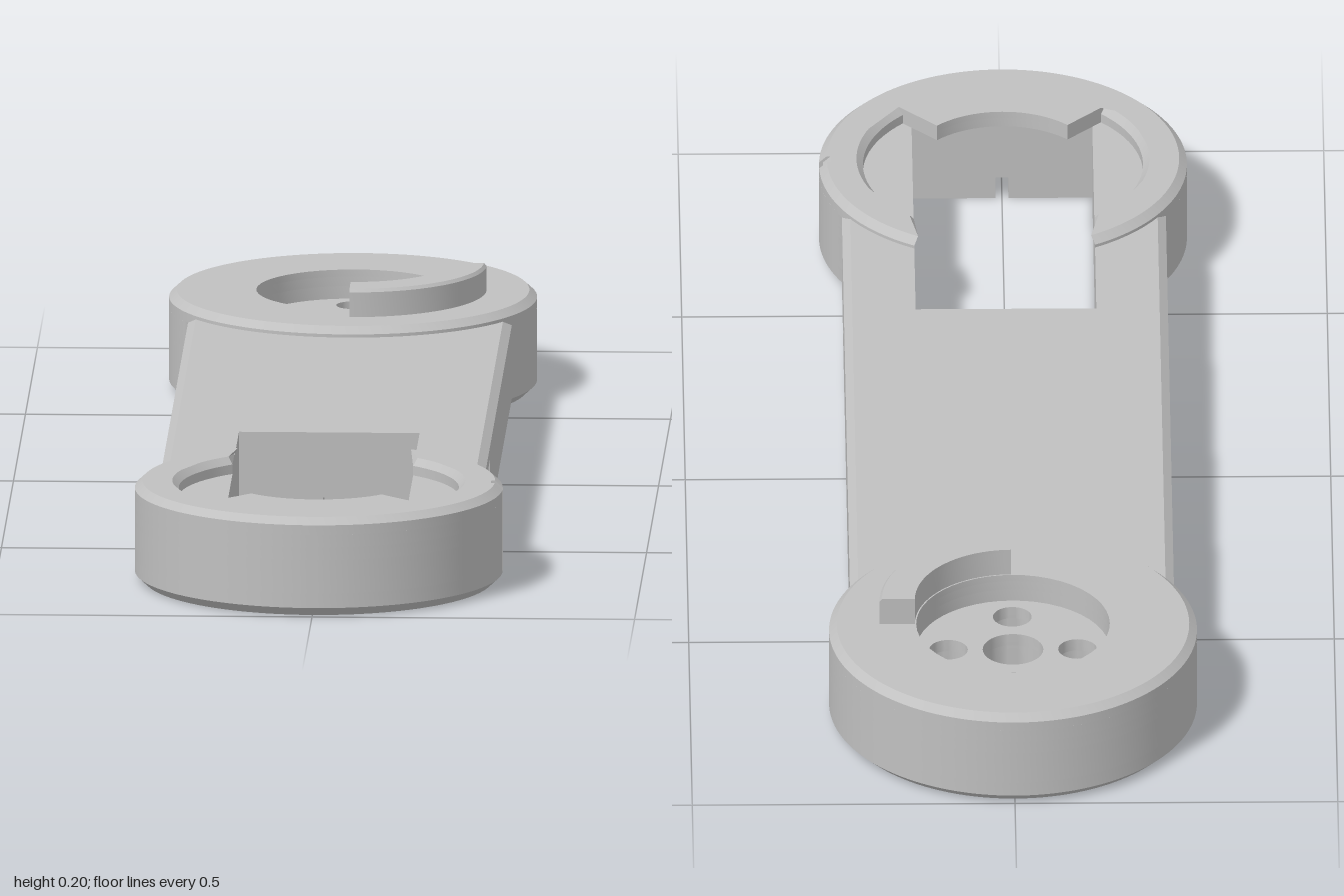
import * as THREE from 'three';
import { toCreasedNormals } from 'three/addons/utils/BufferGeometryUtils.js';

const R = 0.285, W = 0.251, C = 0.715;     // disc radius, bar half width, disc centre distance
const A = Math.acos(W / R);                // angle where the bar meets a disc
const J = C - R * Math.sin(A);             // z of that junction
const PI = Math.PI;

// Plan points are [x, z]; angles run from +x towards +z.
function arc(cx, cz, r, a0, a1, n = 32) {
  return Array.from({ length: n + 1 }, (_, i) => {
    const a = a0 + (a1 - a0) * i / n;
    return [cx + r * Math.cos(a), cz + r * Math.sin(a)];
  });
}
const circle = (x, z, r, n = 32) => arc(x, z, r, 0, 2 * PI, n).slice(0, -1);
const rect = (x, z, w, d) => [[x - w / 2, z - d / 2], [x + w / 2, z - d / 2], [x + w / 2, z + d / 2], [x - w / 2, z + d / 2]];

// Chamfer rules: move points lying near a given radius, or on the bar sides, inwards.
const shiftRadius = (radius, by) => (x, z) => {
  const cz = z > 0 ? C : -C, r = Math.hypot(x, z - cz);
  const k = Math.abs(r - radius) < 0.008 ? (r + by) / r : 1;
  return [x * k, cz + (z - cz) * k];
};
const insetBar = c => (x, z) => [Math.abs(Math.abs(x) - W) < 1e-3 ? x - Math.sign(x) * c : x, z];
const insetBody = c => (x, z) => (Math.abs(z) < J - 1e-3 ? insetBar(c) : shiftRadius(R, -c))(x, z);

export function createModel() {
  const group = new THREE.Group();
  const grey = new THREE.MeshStandardMaterial({ color: 0xc0c0c0 });
  grey.name = 'grey plastic';

  // Horizontal slab between two heights, with optional chamfer at its top or bottom.
  function slab(name, outline, holes, y0, y1, { top, bottom } = {}) {
    // Outlines wind clockwise and holes the other way, so that all walls face outwards.
    const wind = (pts, clockwise) => {
      const v = pts.map(([x, z]) => new THREE.Vector2(x, -z));
      return THREE.ShapeUtils.isClockWise(v) === clockwise ? v : v.reverse();
    };
    const shape = new THREE.Shape(wind(outline, true));
    shape.holes = holes.map(h => new THREE.Path(wind(h, false)));
    const geo = new THREE.ExtrudeGeometry(shape, { depth: y1 - y0, bevelEnabled: false });
    geo.rotateX(-PI / 2).translate(0, y0, 0);
    const p = geo.attributes.position, mid = (y0 + y1) / 2;
    for (let i = 0; i < p.count; i++) {
      const rule = p.getY(i) > mid ? top : bottom;
      if (!rule) continue;
      const [x, z] = rule(p.getX(i), p.getZ(i));
      p.setX(i, x);
      p.setZ(i, z);
    }
    const mesh = new THREE.Mesh(toCreasedNormals(geo, 0.5), grey);
    mesh.name = name;
    group.add(mesh);
  }

  // Outline: front disc with a shallow slit on its left, back disc, straight sides
  const slit = [[R - 0.006, C - 0.009], [R - 0.006, C + 0.009]];
  const frontArc = a => [...arc(0, C, R, -a, -0.032, 16), ...slit, ...arc(0, C, R, 0.032, PI + a, 90)];
  const outline = [...frontArc(A), ...arc(0, -C, R, PI - A, 2 * PI + A, 100)];

  // Window, plain and with the small end slots
  const wx = 0.14, z0 = 0.28, z1 = 0.86, s = 0.01;
  const window = [[wx, z0], [-wx, z0], [-wx, z1], [wx, z1]];
  const slottedWindow = [
    [wx, z0], [s, z0], [s, 0.2], [-s, 0.2], [-s, z0], [-wx, z0],
    [-wx, z1], [-s, z1], [-s, 0.93], [s, 0.93], [s, z1], [wx, z1],
  ];
  // Outline broken through to the window by the square side port
  const portedOutline = [...outline, [W, 0.332], [wx, 0.332], ...window, [wx, 0.392], [W, 0.392]];

  // Bores of the back hub
  const bores = r => [circle(0, -C, 0.047),
    ...[0, 1, 2, 3].map(i => circle(0.1 * Math.cos(i * PI / 2), -C + 0.1 * Math.sin(i * PI / 2), r))];
  // Underside pockets and screw holes
  const pockets = [rect(0.19, 0.735, 0.055, 0.055)];
  const screws = [];
  for (const side of [-1, 1]) {
    for (const z of [-0.45, -0.575]) pockets.push(rect(side * 0.145, z, 0.055, 0.055));
    for (const z of [0.235, 0.925]) screws.push(circle(side * 0.07, z, 0.015, 16));
  }

  // Inner edge of the front ring, with the shelf reaching over the window corners
  const ri = 0.217, ai = Math.acos(wx / ri);
  const ringEdge = [
    ...arc(0, C, ri, -ai, PI / 4, 24),
    ...arc(0, C, 0.143, PI / 4, 3 * PI / 4, 20),
    ...arc(0, C, ri, 3 * PI / 4, PI + ai, 24),
  ];
  const hubPocket = circle(0, -C, 0.15, 48);

  // Body, from the bottom up
  const under = [slottedWindow, ...bores(0.04), ...pockets, ...screws];
  slab('bottomChamfer', outline, under, 0, 0.014, { bottom: insetBody(0.015) });
  slab('lowerBody', outline, under, 0.014, 0.037);
  slab('portedBody', portedOutline, [...bores(0.04), ...pockets], 0.037, 0.09);
  slab('hubFloor', portedOutline, bores(0.03), 0.09, 0.11);
  slab('upperBody', outline, [window, hubPocket], 0.11, 0.13);

  // Bar top with chamfered long edges
  slab('barTop', [[W, -J], [W, J], [wx, 0.51], [wx, z0], [-wx, z0], [-wx, 0.51], [-W, J], [-W, -J], [0, -0.5]],
    [], 0.13, 0.14, { top: insetBar(0.013) });

  // Raised back disc, chamfered outside
  const backDisc = circle(0, -C, R, 144);
  slab('backDisc', backDisc, [hubPocket], 0.13, 0.145);
  slab('backDiscChamfer', backDisc, [hubPocket], 0.145, 0.156, { top: shiftRadius(R, -0.012) });

  // Raised front ring, chamfered outside and inside
  const frontRing = [...frontArc(Math.acos(wx / R)), ...ringEdge.reverse()];
  const ringTop = (x, z) => shiftRadius(ri, 0.01)(...shiftRadius(R, -0.012)(x, z));
  slab('frontRing', frontRing, [], 0.13, 0.145);
  slab('frontRingChamfer', frontRing, [], 0.145, 0.156, { top: ringTop });

  // Quarter-turn stop standing on the back disc
  const ro = 0.207;
  const stop = [...arc(0, -C, 0.152, 0.01, PI / 2 - 0.01, 20), ...arc(0, -C, ro, PI / 2 - 0.01, 0.01, 20)];
  slab('stop', stop, [], 0.15, 0.195);
  slab('stopChamfer', stop, [], 0.195, 0.2, { top: shiftRadius(ro, -0.004) });

  return group;
}
